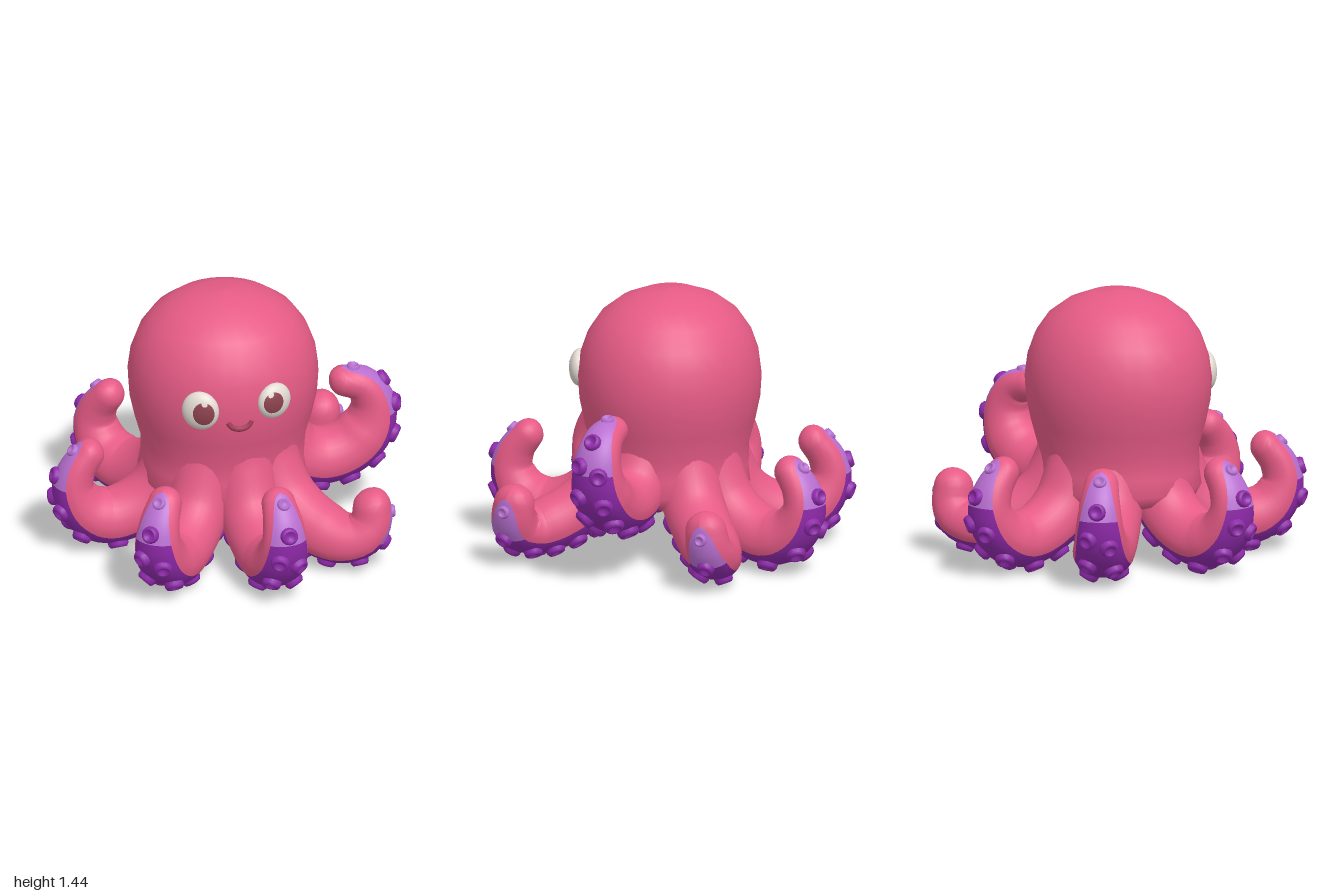
import * as THREE from 'three';
import { mergeGeometries } from 'three/addons/utils/BufferGeometryUtils.js';

const mat = (name, color) => {
  const m = new THREE.MeshStandardMaterial({ color });
  m.name = name;
  return m;
};
const V = (x, y, z) => new THREE.Vector3(x, y, z);
const lerp = THREE.MathUtils.lerp;

export function createModel() {
  const pink = mat('pinkSkin', 0xe65b86);
  const purple = mat('purpleBelly', 0x8f2aaa);
  const lilac = mat('lilacTip', 0xb86fd0);
  const white = mat('eyeWhite', 0xe4dcd4);
  const brown = mat('pupilBrown', 0x8c424e);
  const mouthRed = mat('mouthRed', 0xa03a54);

  const model = new THREE.Group();
  const add = (parent, name, geo, material) => {
    const mesh = new THREE.Mesh(geo, material);
    mesh.name = name;
    parent.add(mesh);
    return mesh;
  };

  // Head and body in one turned shape, flaring where the tentacles leave it
  const profile = [[0, 0.25], [0.18, 0.26], [0.31, 0.295], [0.42, 0.34], [0.455, 0.4], [0.44, 0.49], [0.438, 0.6],
    [0.474, 0.73], [0.5, 0.85], [0.508, 0.97], [0.492, 1.09], [0.452, 1.2], [0.382, 1.3], [0.28, 1.375],
    [0.15, 1.425], [0, 1.44]];
  const body = add(model, 'body',
    new THREE.LatheGeometry(profile.map(([x, y]) => new THREE.Vector2(x, y)), 30), pink);
  body.position.set(-0.012, 0, -0.01);
  body.scale.z = 0.95;

  // Eyes: flattened balls with curved pupil and highlight caps
  const cap = (radius, size, dx, dy) => new THREE.SphereGeometry(radius, 24, 6, 0, Math.PI * 2, 0, size)
    .rotateX(Math.PI / 2).rotateX(-Math.asin(dy)).rotateY(Math.asin(dx));
  const addEye = (name, pos, yaw, size, pupil, glint) => {
    const eye = new THREE.Group();
    eye.name = name;
    eye.position.set(...pos);
    eye.rotation.y = yaw;
    eye.scale.set(...size);
    add(eye, 'eyeball', new THREE.SphereGeometry(1, 28, 18), white);
    add(eye, 'pupil', cap(1.025, 0.62, ...pupil), brown);
    add(eye, 'highlight', cap(1.05, 0.17, ...glint), white);
    model.add(eye);
  };
  addEye('rightEye', [-0.24, 0.965, 0.417], -0.45, [0.1, 0.11, 0.055], [0.32, 0.04], [0.36, 0.55]);
  addEye('leftEye', [0.155, 0.988, 0.44], 0.32, [0.097, 0.1, 0.055], [-0.36, 0.14], [-0.52, 0.58]);

  // Smile
  const smile = new THREE.CatmullRomCurve3([V(-0.1, 0.895, 0.452), V(-0.08, 0.868, 0.462), V(-0.036, 0.854, 0.468),
    V(0.01, 0.868, 0.466), V(0.028, 0.895, 0.46)]);
  add(model, 'mouth', new THREE.TubeGeometry(smile, 16, 0.015, 8), mouthRed);

  // Cup-shaped sucker, opening along +y
  const cup = new THREE.LatheGeometry([[0.06, -0.018], [0.057, 0.012], [0.047, 0.027], [0.034, 0.026], [0.025, 0.008],
    [0, 0.005]].map(([x, y]) => new THREE.Vector2(x, y)), 14);

  // Tentacle section: broad and flattened on the belly side, rounder on the back
  const outward = (ring, phi) => ring.N.clone().multiplyScalar(Math.cos(phi)).addScaledVector(ring.B, Math.sin(phi));
  const onRing = (ring, phi) => {
    const c = Math.cos(phi);
    return ring.C.clone().addScaledVector(ring.N, ring.r * c * (c > 0 ? 0.87 : 1.08))
      .addScaledVector(ring.B, ring.r * 1.06 * Math.sin(phi));
  };
  // Skin over rings i0..i1, between two angles that depend on the ring
  const skin = (rings, i0, i1, range, sides) => {
    const pos = [], idx = [], w = sides + 1;
    for (let i = i0; i <= i1; i++) {
      const [a, b] = range(rings[i].u);
      for (let j = 0; j <= sides; j++) {
        const p = onRing(rings[i], lerp(a, b, j / sides));
        pos.push(p.x, p.y, p.z);
        if (i < i1 && j < sides) {
          const k = (i - i0) * w + j;
          idx.push(k, k + w, k + 1, k + w, k + w + 1, k + 1);
        }
      }
    }
    const g = new THREE.BufferGeometry();
    g.setAttribute('position', new THREE.Float32BufferAttribute(pos, 3));
    g.setIndex(idx);
    g.computeVertexNormals();
    return g;
  };

  // Half angle of the belly: wide at the root, pointed at the tip
  const bellyAngle = (u) => lerp(1.4, 1.0, u) * Math.sqrt(Math.min(1, Math.max(0, (1 - u) / 0.22)));

  const addTentacle = (name, points, tipStart, tipRadius) => {
    const group = new THREE.Group();
    group.name = name;
    const curve = new THREE.CatmullRomCurve3(points);
    const n = 40, capN = 6, rings = [];
    const B = new THREE.Vector3();
    for (let i = 0; i <= n + capN; i++) {
      const t = Math.min(1, i / n);
      const C = curve.getPointAt(t), T = curve.getTangentAt(t);
      if (i === 0) B.crossVectors(T, V(0, 1, 0));
      B.addScaledVector(T, -B.dot(T)).normalize();
      let r = t < 0.65 ? lerp(0.17, 0.15, t / 0.65) : lerp(0.15, tipRadius, (t - 0.65) / 0.35);
      if (i > n) {
        const a = (i - n) / capN * Math.PI / 2;
        C.addScaledVector(T, r * Math.sin(a));
        r *= Math.max(0.001, Math.cos(a));
      }
      rings.push({ C, r, B: B.clone(), N: new THREE.Vector3().crossVectors(T, B), u: i / (n + 2) });
    }
    const last = n + capN, split = Math.round(n * tipStart);
    const belly = (u) => [-bellyAngle(u), bellyAngle(u)];
    add(group, 'tentacleBack', skin(rings, 0, last, (u) => [bellyAngle(u), Math.PI * 2 - bellyAngle(u)], 18), pink);
    add(group, 'tentacleBelly', skin(rings, 0, split, belly, 10), purple);
    add(group, 'tentacleTipBelly', skin(rings, split, n + 2, belly, 10), lilac);

    // Two rows of suckers, then a single row at the tip
    const cups = { dark: [], light: [] };
    const place = (t, phi, size) => {
      const ring = rings[Math.round(t * n)];
      const q = new THREE.Quaternion().setFromUnitVectors(V(0, 1, 0), outward(ring, phi));
      const m = new THREE.Matrix4().compose(onRing(ring, phi), q, V(size, size, size));
      cups[t > 0.9 ? 'light' : 'dark'].push(cup.clone().applyMatrix4(m));
    };
    for (let k = 0; k < 6; k++) {
      const t = 0.29 + k * 0.1;
      for (const s of [-1, 1]) place(t + s * 0.012, s * lerp(0.58, 0.45, k / 5), lerp(1.1, 0.85, k / 5));
    }
    place(0.875, 0.05, 0.8);
    place(0.97, 0, 0.6);
    add(group, 'suckers', mergeGeometries(cups.dark), purple);
    add(group, 'tipSuckers', mergeGeometries(cups.light), lilac);
    model.add(group);
  };

  // Tentacles: [distance from the centre, height] along a heading
  const curled = [[0.21, 0.72], [0.26, 0.52], [0.36, 0.315], [0.51, 0.2], [0.68, 0.163], [0.815, 0.235],
    [0.878, 0.37], [0.848, 0.48], [0.785, 0.56]];
  const raised = [[0.22, 0.74], [0.27, 0.57], [0.37, 0.43], [0.52, 0.375], [0.69, 0.425], [0.8, 0.555],
    [0.812, 0.69], [0.745, 0.795], [0.65, 0.825]];
  const along = (path, dx, dz) => path.map(([s, y]) => V(s * dx, y, s * dz));
  addTentacle('leftTentacle', along(raised, 1, 0), 0.78, 0.085);
  addTentacle('rightTentacle', along(curled, -0.96, 0), 0.85, 0.085);
  const bent = [[0.145, 0.72, 0.16], [0.175, 0.52, 0.2], [0.25, 0.325, 0.29], [0.37, 0.21, 0.42], [0.5, 0.163, 0.535],
    [0.61, 0.195, 0.58], [0.662, 0.275, 0.578], [0.668, 0.35, 0.57]];
  for (const [end, s] of [['front', 1], ['back', -1]]) {
    addTentacle(end + 'Tentacle', along(curled, 0.12, s), 0.85, 0.085);
    addTentacle(end + 'RightTentacle', along(curled, -0.62, 0.805 * s), 0.85, 0.085);
    addTentacle(end + 'LeftTentacle', bent.map(([x, y, z]) => V(x, y, z * s)), 0.87, 0.105);
  }
  return model;
}
